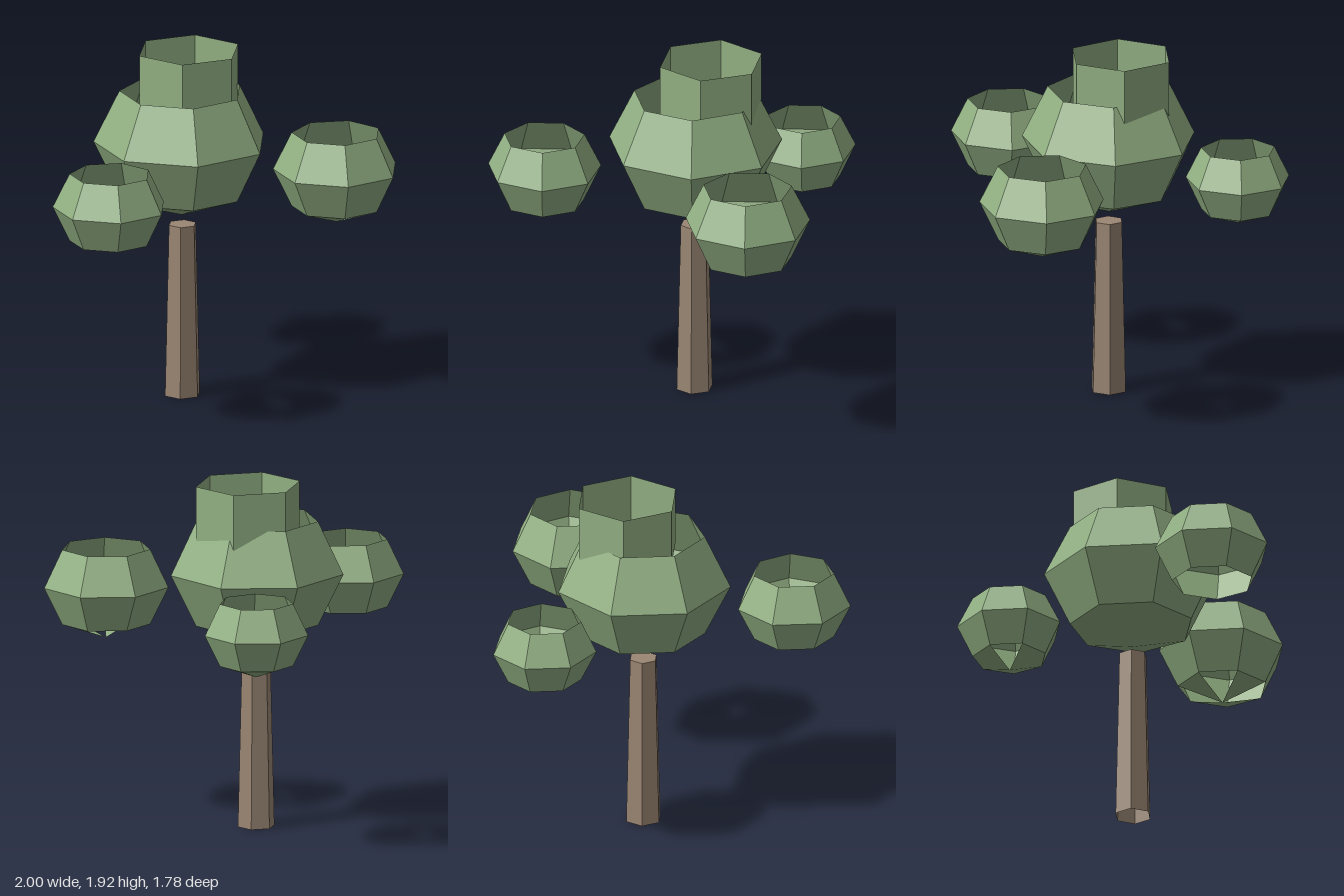
import * as THREE from 'three';

const leafGreen = new THREE.MeshStandardMaterial({ color: 0x92b083, flatShading: true, side: THREE.DoubleSide });
leafGreen.name = 'leaf green';
const barkBrown = new THREE.MeshStandardMaterial({ color: 0x9a8673, flatShading: true, side: THREE.DoubleSide });
barkBrown.name = 'bark brown';

// Low-poly ball with an open top; wedges lists which slices of its bottom cone are kept.
function leafBall(name, { at, radius, sides, rings, squash = 0.85, wedges }) {
  const group = new THREE.Group();
  group.name = name;
  const step = (Math.PI * 2) / sides;
  const point = (i) => {
    const a = (Math.PI * i) / rings; // measured from the bottom pole
    return new THREE.Vector2(i === 0 ? 0 : radius * Math.sin(a), -radius * squash * Math.cos(a));
  };
  const add = (part, points, segments, start, length) => {
    const mesh = new THREE.Mesh(new THREE.LatheGeometry(points, segments, start, length), leafGreen);
    mesh.name = part;
    group.add(mesh);
  };

  // side walls between the lowest and highest rings
  const wall = [];
  for (let i = 1; i < rings; i++) wall.push(point(i));
  add('leafWall', wall, sides, Math.PI / 2, Math.PI * 2);

  // slices of the bottom cone
  const kept = wedges ?? Array.from({ length: sides }, (_, k) => k);
  for (const k of kept) add('bottomWedge', [point(0), point(1)], 1, Math.PI / 2 - (k + 1) * step, step);

  group.position.set(...at);
  return group;
}

export function createModel() {
  const tree = new THREE.Group();
  tree.name = 'tree';

  // tapered six-sided trunk, vertices on the x axis, open underneath
  const trunk = new THREE.Mesh(
    new THREE.CylinderGeometry(0.079, 0.102, 0.96, 6, 1, true, Math.PI / 2), barkBrown);
  trunk.name = 'trunk';
  trunk.position.set(-0.078, 0.48, 0.077);
  tree.add(trunk);

  const trunkTop = new THREE.Mesh(new THREE.CircleGeometry(0.079, 6), barkBrown);
  trunkTop.name = 'trunkTop';
  trunkTop.rotation.x = -Math.PI / 2;
  trunkTop.position.set(-0.078, 0.96, 0.077);
  tree.add(trunkTop);

  // foliage
  tree.add(
    leafBall('mainCrown', { at: [-0.079, 1.417, 0.073], radius: 0.479, sides: 7, rings: 4 }),
    leafBall('topCrown', { at: [-0.015, 1.757, 0.015], radius: 0.335, sides: 6, rings: 3, squash: 0.95 }),
    leafBall('rightFrontCluster', { at: [-0.718, 1.262, 0.58], radius: 0.313, sides: 7, rings: 4, wedges: [] }),
    leafBall('leftFrontCluster', { at: [0.655, 1.29, 0.485], radius: 0.345, sides: 7, rings: 4, wedges: [0, 2, 4, 6] }),
    leafBall('backCluster', { at: [0.103, 1.234, -0.612], radius: 0.287, sides: 7, rings: 4, wedges: [0, 1, 2, 4, 5, 6] }),
  );
  return tree;
}
